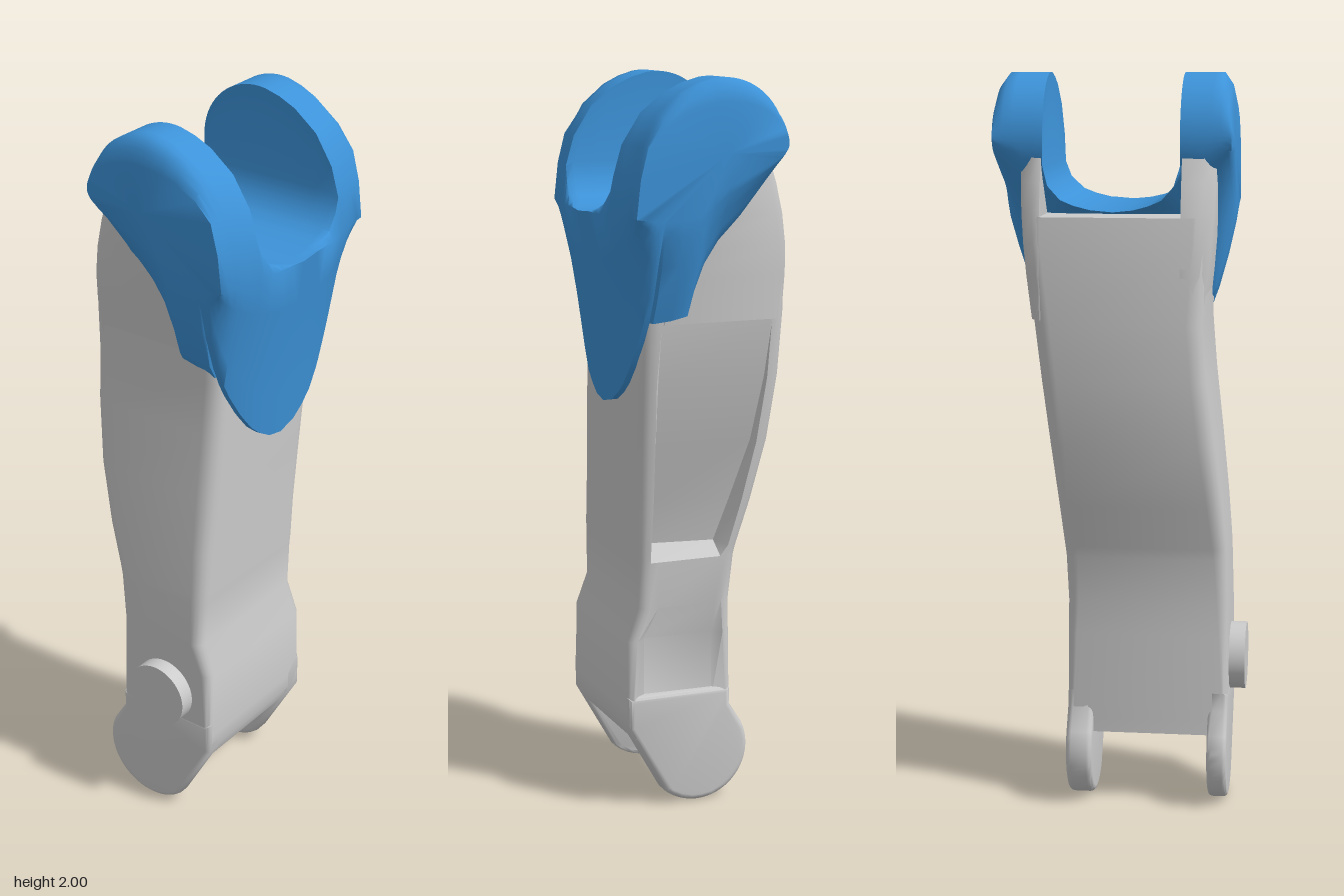
import * as THREE from 'three';
import { toCreasedNormals } from 'three/addons/utils/BufferGeometryUtils.js';

const V = (x, y, z) => new THREE.Vector3(x, y, z);

// Skin closed rings of equal length and cap both ends
function loft(rings, crease) {
  const pos = [];
  const tri = (...p) => p.forEach(v => pos.push(v.x, v.y, v.z));
  const n = rings[0].length;
  for (let r = 0; r < rings.length - 1; r++) {
    for (let i = 0; i < n; i++) {
      const j = (i + 1) % n, a = rings[r], b = rings[r + 1];
      tri(a[i], a[j], b[j]);
      tri(a[i], b[j], b[i]);
    }
  }
  const cap = (ring, flip) => {
    const c = ring.reduce((s, v) => s.add(v), V(0, 0, 0)).divideScalar(n);
    ring.forEach((v, i) => {
      const w = ring[(i + 1) % n];
      flip ? tri(c, w, v) : tri(c, v, w);
    });
  };
  cap(rings[0], true);
  cap(rings[rings.length - 1], false);
  const g = new THREE.BufferGeometry();
  g.setAttribute('position', new THREE.Float32BufferAttribute(pos, 3));
  return toCreasedNormals(g, crease);
}

// Plate in the xy plane between two depths, with softened rims
function plate(points, z0, z1, bevel) {
  const shape = new THREE.Shape(points.map(p => new THREE.Vector2(...p)));
  const g = new THREE.ExtrudeGeometry(shape, {
    depth: z1 - z0 - 2 * bevel, bevelEnabled: true, bevelThickness: bevel,
    bevelSize: bevel, bevelOffset: -bevel, bevelSegments: 3,
  });
  g.translate(0, 0, z0 + bevel);
  return toCreasedNormals(g, 0.9);
}

function arc(cx, cy, r, from, to, steps) {
  return Array.from({ length: steps + 1 }, (_, i) => {
    const a = THREE.MathUtils.degToRad(from + (to - from) * i / steps);
    return [cx + r * Math.cos(a), cy + r * Math.sin(a)];
  });
}

export function createModel() {
  const group = new THREE.Group();
  const grey = new THREE.MeshStandardMaterial({ color: 0xcccccc, side: THREE.DoubleSide });
  const blue = new THREE.MeshStandardMaterial({ color: 0x3d93d9, side: THREE.DoubleSide });
  const add = (name, geometry, material = grey) => {
    const mesh = new THREE.Mesh(geometry, material);
    mesh.name = name;
    group.add(mesh);
    return mesh;
  };

  // Shin shell: y, x range, z range, depth of the hollow on the back face,
  // corner radius; the first two rows line the open ankle socket
  const rows = [
    [0.40, -0.10, 0.12, -0.08, 0.237, 0, 0.01],
    [0.20, -0.10, 0.12, -0.08, 0.237, 0, 0.01],
    [0.20, -0.13, 0.155, -0.15, 0.29, 0, 0.012],
    [0.24, -0.13, 0.172, -0.15, 0.29, 0, 0.012],
    [0.28, -0.13, 0.172, -0.15, 0.29, 0.03, 0.015],
    [0.48, -0.13, 0.172, -0.15, 0.29, 0.03, 0.025],
    [0.57, -0.13, 0.14, -0.15, 0.29, 0, 0.03],
    [0.70, -0.145, 0.144, -0.155, 0.286, 0, 0.035],
    [0.73, -0.152, 0.145, -0.158, 0.284, 0.1, 0.035],
    [0.85, -0.19, 0.147, -0.168, 0.275, 0.085, 0.04],
    [1.02, -0.232, 0.153, -0.185, 0.258, 0.045, 0.045],
    [1.20, -0.253, 0.157, -0.205, 0.238, 0.015, 0.045],
    [1.35, -0.257, 0.16, -0.222, 0.226, 0, 0.045],
    [1.56, -0.25, 0.16, -0.243, 0.236, 0, 0.04],
    [1.63, -0.24, 0.16, -0.243, 0.236, 0, 0.04],
  ];
  const shin = rows.map(([y, x0, x1, z0, z1, hollow, r]) => [
    ...arc(x0 + r, -z1 + r, r, 180, 270, 4),
    ...arc(x1 - r, -z1 + r, r, 270, 360, 4),
    ...arc(x1 - r, -z0 - r, r, 0, 90, 4),
    [x1 - 0.055, -z0 - hollow], [x0 + 0.05, -z0 - hollow * 0.7],
    ...arc(x0 + r, -z0 - r, r, 90, 180, 4),
  ].map(([x, back]) => V(x, y, -back)));
  add('shinShell', loft(shin, 0.85));

  // Shin horns flaring out of the shell beneath the knee prongs: y, x range, flare
  const hornRows = [
    [1.36, -0.25, 0.1, -0.008], [1.48, -0.253, 0.06, 0.006], [1.56, -0.249, 0.02, 0.014],
    [1.64, -0.237, -0.03, 0.02], [1.72, -0.217, -0.08, 0.024], [1.79, -0.195, -0.14, 0.024],
  ];
  const horn = (inner, outer) => loft(hornRows.map(([y, x0, x1, flare]) => {
    const out = outer + Math.sign(outer) * flare;
    const [z0, z1] = [Math.min(inner, out), Math.max(inner, out)];
    const [c0, c1] = outer > 0 ? [0, 0.03] : [0.03, 0];
    return [V(x0, y, z1 - c1), V(x0 + c1, y, z1), V(x1, y, z1),
      V(x1, y, z0), V(x0 + c0, y, z0), V(x0, y, z0 + c0)];
  }), 0.9);
  add('frontHorn', horn(0.165, 0.23));
  add('backHorn', horn(-0.205, -0.236));

  // Knee guard: one side profile, reshaped slice by slice
  const prongEdge = [
    ...arc(-0.035, 1.83, 0.17, 80, 215, 24),
    [-0.1, 1.64], [-0.04, 1.58], [0, 1.52], [0.03, 1.45], [0.05, 1.385],
    [0.1, 1.375], [0.155, 1.37],
  ];
  const shieldEdge = [
    [0.162, 1.25], [0.167, 1.13], [0.185, 1.13],
    [0.198, 1.25], [0.212, 1.38], [0.232, 1.52], [0.25, 1.65],
    [0.237, 1.75], [0.213, 1.83], [0.16, 1.91], [0.09, 1.963], [0.04, 1.985],
  ];
  // z, top, floor, right stretch, left stretch
  const slices = [
    [-0.333, 1.94, 1.64, 0.87, 1], [-0.327, 1.97, 1.6, 0.88, 1],
    [-0.305, 2, 1.52, 0.89, 1], [-0.28, 2, 1.44, 0.9, 1],
    [-0.255, 2, 1.37, 0.92, 1], [-0.23, 2, 1.32, 0.94, 1], [-0.2, 2, 1.27, 0.97, 1],
    [-0.2, 1.76, 1.27, 0.97, 1], [-0.185, 1.71, 1.245, 0.98, 1.08],
    [-0.15, 1.675, 1.2, 1, 1.16], [-0.115, 1.661, 1.17, 1.01, 1.19],
    [-0.07, 1.65, 1.143, 1.02, 1.21], [-0.01, 1.645, 1.13, 1.025, 1.22],
    [0.04, 1.65, 1.14, 1.022, 1.21], [0.08, 1.66, 1.163, 1.01, 1.18],
    [0.115, 1.675, 1.192, 1, 1.14], [0.145, 1.71, 1.23, 0.98, 1.06],
    [0.16, 1.76, 1.25, 0.97, 1], [0.16, 2, 1.25, 0.97, 1],
    [0.2, 2, 1.315, 0.94, 1], [0.22, 2, 1.355, 0.93, 1], [0.24, 2, 1.41, 0.91, 1],
    [0.265, 2, 1.5, 0.89, 1], [0.285, 1.97, 1.59, 0.88, 1],
    [0.293, 1.93, 1.64, 0.87, 1],
  ];
  const hub = 1.83;
  const guard = slices.map(([z, top, floor, right, left]) => {
    const rise = top > hub ? (top - hub) / 0.17 : 1;
    // Below the pivot height, squeeze the outline so its lowest point meets the floor
    const place = (pivot, lowest) => ([x, y]) => {
      const drop = Math.min(1, (pivot - floor) / (pivot - lowest));
      let h = y;
      if (y > hub) h = hub + (y - hub) * rise;
      else if (y < pivot) h = pivot + (y - pivot) * drop;
      return V(x * (x > 0 ? right : left), Math.min(h, top), z);
    };
    return [...prongEdge.map(place(hub, 1.37)), ...shieldEdge.map(place(1.65, 1.13))];
  });
  add('kneeGuard', loft(guard, 1.1), blue);

  // Ankle prongs
  const prong = [
    ...arc(-0.035, 0.147, 0.147, 155, 312, 24),
    [0.172, 0.23], [0.172, 0.32], [-0.13, 0.32], [-0.13, 0.27],
  ];
  add('frontAnkleProng', plate(prong, 0.237, 0.291, 0.012));
  add('backAnkleProng', plate(prong, -0.152, -0.08, 0.015));

  // Pivot pin on the front face
  const pin = new THREE.CylinderGeometry(0.093, 0.093, 0.075, 40);
  pin.rotateX(Math.PI / 2);
  add('anklePin', pin).position.set(0.021, 0.39, 0.296);

  return group;
}
